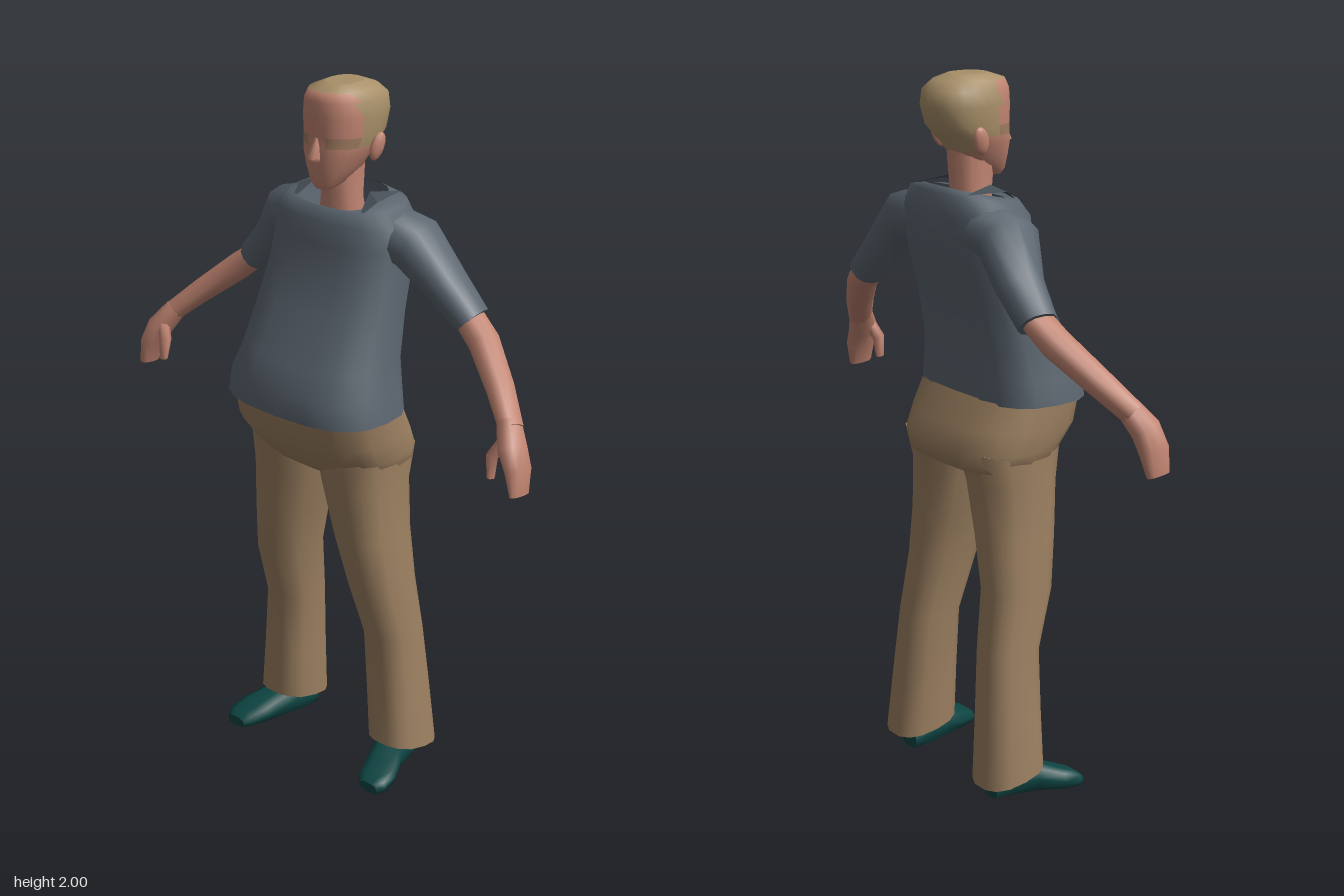
import * as THREE from 'three';

const V = (x, y, z) => new THREE.Vector3(x, y, z);
const paint = (name, color, side = THREE.FrontSide) => {
  const m = new THREE.MeshStandardMaterial({ color, side });
  m.name = name;
  return m;
};

// Rounded-square point on a unit ring
function unit(i, n, e) {
  const a = (i / n) * Math.PI * 2, c = Math.cos(a), s = Math.sin(a);
  return [Math.sign(c) * Math.abs(c) ** e, Math.sign(s) * Math.abs(s) ** e];
}

// Horizontal ring: height, left and right edge, back, front, front lift
function level([y, x0, x1, back, front, lift = 0], n = 16, e = 0.8) {
  return Array.from({ length: n }, (_, i) => {
    const [c, s] = unit(i, n, e);
    return V((x0 + x1) / 2 + c * (x1 - x0) / 2, y + lift * s, (front + back) / 2 + s * (front - back) / 2);
  });
}

// Rings across a limb: centre x, y, z, radius in the front plane, radius in depth
function limb(rows, n = 10) {
  const pts = rows.map(r => V(r[0], r[1], r[2]));
  return rows.map((r, k) => {
    const d = pts[Math.min(k + 1, pts.length - 1)].clone().sub(pts[Math.max(k - 1, 0)]).normalize();
    const b = V(0, 0, 1).addScaledVector(d, -d.z).normalize();
    const u = b.clone().cross(d);
    return Array.from({ length: n }, (_, i) => {
      const [c, s] = unit(i, n, 0.9);
      return pts[k].clone().addScaledVector(u, c * r[3]).addScaledVector(b, s * r[4]);
    });
  });
}

// Skin through rings, faced outward; pick(centre) chooses a material slot
function loft(rings, { start = true, end = true, pick = () => 0 } = {}) {
  const n = rings[0].length, pos = rings.flat().map(p => p.clone()), tris = [];
  const mid = pos.reduce((m, p) => m.add(p), V(0, 0, 0)).divideScalar(pos.length);
  for (let k = 0; k < rings.length - 1; k++) for (let i = 0; i < n; i++) {
    const a = k * n + i, b = k * n + (i + 1) % n;
    tris.push([a, b, b + n], [a, b + n, a + n]);
  }
  let volume = 0;
  for (const t of tris) {
    const [a, b, c] = t.map(i => pos[i].clone().sub(mid));
    volume += a.dot(b.cross(c));
  }
  const cap = (ring, flip) => {
    const o = pos.length;
    pos.push(...ring, ring.reduce((m, p) => m.add(p), V(0, 0, 0)).divideScalar(n));
    for (let i = 0; i < n; i++) {
      const j = (i + 1) % n;
      tris.push(flip ? [o + j, o + i, o + n] : [o + i, o + j, o + n]);
    }
  };
  if (start) cap(rings[0], true);
  if (end) cap(rings[rings.length - 1], false);
  const slots = [[], [], []];
  for (const t of tris) {
    const c = t.reduce((m, i) => m.add(pos[i]), V(0, 0, 0)).divideScalar(3);
    slots[pick(c)].push(...(volume < 0 ? [t[0], t[2], t[1]] : t));
  }
  const g = new THREE.BufferGeometry().setFromPoints(pos);
  g.setIndex(slots.flat());
  let at = 0;
  slots.forEach((s, i) => { if (s.length) g.addGroup(at, s.length, i); at += s.length; });
  g.computeVertexNormals();
  return g;
}

export function createModel() {
  const model = new THREE.Group();
  const skin = paint('skin', 0xc08471);
  const hair = paint('hair', 0xa89069);
  const brow = paint('brow', 0xa17d62);
  const shirt = paint('shirt', 0x5b656f, THREE.DoubleSide);
  const collar = paint('collar', 0x464e56, THREE.DoubleSide);
  const trousers = paint('trousers', 0x9c8061);
  const shoe = paint('shoe', 0x0d4543);
  const add = (name, geometry, material) => {
    const m = new THREE.Mesh(geometry, material);
    m.name = name;
    model.add(m);
    return m;
  };
  const both = (name, rings, material, options) => {
    for (const s of [1, -1]) {
      const mirrored = rings.map(r => r.map(p => V(p.x * s, p.y, p.z)));
      add((s > 0 ? 'left' : 'right') + name, loft(mirrored, options), material);
    }
  };
  const centred = ([y, w, back, front, lift], n, e) => level([y, -w, w, back, front, lift], n, e);

  // Shirt body with an open neckline
  add('shirtBody', loft([
    [1.13, 0.26, -0.125, 0.205], [1.2, 0.25, -0.125, 0.2], [1.27, 0.232, -0.13, 0.165],
    [1.4, 0.222, -0.15, 0.1], [1.5, 0.214, -0.18, 0.06], [1.58, 0.21, -0.2, 0.045],
    [1.64, 0.21, -0.2, 0.035], [1.685, 0.175, -0.19, 0.015, -0.01], [1.69, 0.115, -0.17, 0, -0.02],
  ].map(r => centred(r, 20, 0.72)), { start: false, end: false }), shirt);

  // Sleeves
  both('Sleeve', limb([
    [0.11, 1.61, -0.1, 0.075, 0.085], [0.225, 1.59, -0.11, 0.072, 0.087],
    [0.31, 1.49, -0.135, 0.056, 0.066], [0.395, 1.408, -0.143, 0.047, 0.054],
  ], 12), shirt);

  // Collar flaps
  for (const s of [1, -1]) {
    const [a, b, c, d] = [[0.12, 1.7, -0.17], [0.095, 1.715, -0.07], [0.12, 1.665, 0.005], [0.14, 1.7, -0.05]]
      .map(([x, y, z]) => V(x * s, y, z));
    const g = new THREE.BufferGeometry().setFromPoints(s > 0 ? [a, b, d, b, c, d] : [a, d, b, b, d, c]);
    g.computeVertexNormals();
    add(s > 0 ? 'leftCollar' : 'rightCollar', g, collar);
  }

  // Trouser seat and legs
  add('trouserSeat', loft([
    [1.15, 0.25, -0.12, 0.195], [1.06, 0.25, -0.17, 0.18], [1.0, 0.243, -0.195, 0.135],
    [0.95, 0.232, -0.185, 0.095], [0.92, 0.19, -0.12, 0.05],
  ].map(r => centred(r, 20, 0.75))), trousers);
  both('Leg', [
    [1.0, 0.005, 0.238, -0.175, 0.11], [0.9, 0.02, 0.237, -0.145, 0.093], [0.75, 0.06, 0.242, -0.14, 0.08],
    [0.6, 0.095, 0.258, -0.14, 0.055], [0.43, 0.115, 0.265, -0.165, 0.003],
    [0.25, 0.123, 0.283, -0.18, 0], [0.07, 0.13, 0.3, -0.197, 0, 0.02],
  ].map(r => level(r, 14, 0.8)), trousers);

  // Shoes: z, centre x, half width, height
  both('Shoe', [
    [-0.15, 0.2, 0.035, 0.06], [-0.1, 0.205, 0.046, 0.09], [-0.03, 0.222, 0.05, 0.095],
    [0.04, 0.25, 0.058, 0.065], [0.09, 0.263, 0.05, 0.045], [0.11, 0.265, 0.032, 0.03],
  ].map(([z, x, w, h]) => Array.from({ length: 10 }, (_, i) => {
    const [c, s] = unit(i, 10, 0.7);
    return V(x + c * w, h * (0.5 + 0.5 * s), z);
  })), shoe);

  // Forearms, hands and thumbs
  both('Arm', limb([
    [0.36, 1.435, -0.145, 0.035, 0.045], [0.45, 1.365, -0.125, 0.04, 0.044],
    [0.55, 1.28, -0.07, 0.035, 0.04], [0.63, 1.205, -0.018, 0.03, 0.034],
  ]), skin);
  both('Hand', limb([
    [0.615, 1.22, -0.025, 0.03, 0.034], [0.652, 1.165, 0.005, 0.034, 0.044],
    [0.678, 1.115, 0.012, 0.027, 0.045], [0.69, 1.05, 0.018, 0.014, 0.036],
  ]), skin);
  both('Thumb', limb([
    [0.635, 1.19, 0.01, 0.018, 0.018], [0.607, 1.14, 0.03, 0.017, 0.018], [0.61, 1.08, 0.036, 0.01, 0.012],
  ], 6), skin);

  // Neck
  add('neck', loft([
    [1.58, 0.07, -0.14, -0.01], [1.69, 0.057, -0.12, -0.012], [1.8, 0.06, -0.13, 0],
  ].map(r => centred(r, 12, 0.9))), skin);

  // Head with hair cap and brow band
  const headSlot = c => {
    if (c.y > 1.985 || (c.z < -0.035 && c.y > 1.84) || (c.z < -0.09 && c.y > 1.8)) return 1;
    return c.y > 1.84 && c.y < 1.868 && Math.abs(c.x) > 0.02 ? 2 : 0;
  };
  add('head', loft([
    [1.725, 0.025, -0.02, 0.026], [1.742, 0.045, -0.06, 0.034], [1.78, 0.068, -0.115, 0.038],
    [1.82, 0.085, -0.145, 0.04], [1.84, 0.09, -0.165, 0.037], [1.868, 0.096, -0.19, 0.036],
    [1.92, 0.099, -0.205, 0.037], [1.96, 0.095, -0.2, 0.035], [1.985, 0.08, -0.17, 0.025], [2.0, 0.045, -0.13, -0.02],
  ].map(r => centred(r, 24, 0.85)), { pick: headSlot }), [skin, hair, brow]);

  // Nose
  add('nose', loft([
    [1.865, 0.007, 0.02, 0.039], [1.815, 0.018, 0.02, 0.068], [1.802, 0.012, 0.02, 0.05],
  ].map(r => centred(r, 8, 1))), skin);

  // Ears
  for (const s of [1, -1]) {
    const ear = add(s > 0 ? 'leftEar' : 'rightEar', new THREE.SphereGeometry(1, 10, 8), skin);
    ear.scale.set(0.014, 0.04, 0.024);
    ear.position.set(0.094 * s, 1.832, -0.1);
    ear.rotation.set(-0.3, 0, -0.15 * s);
  }
  return model;
}
